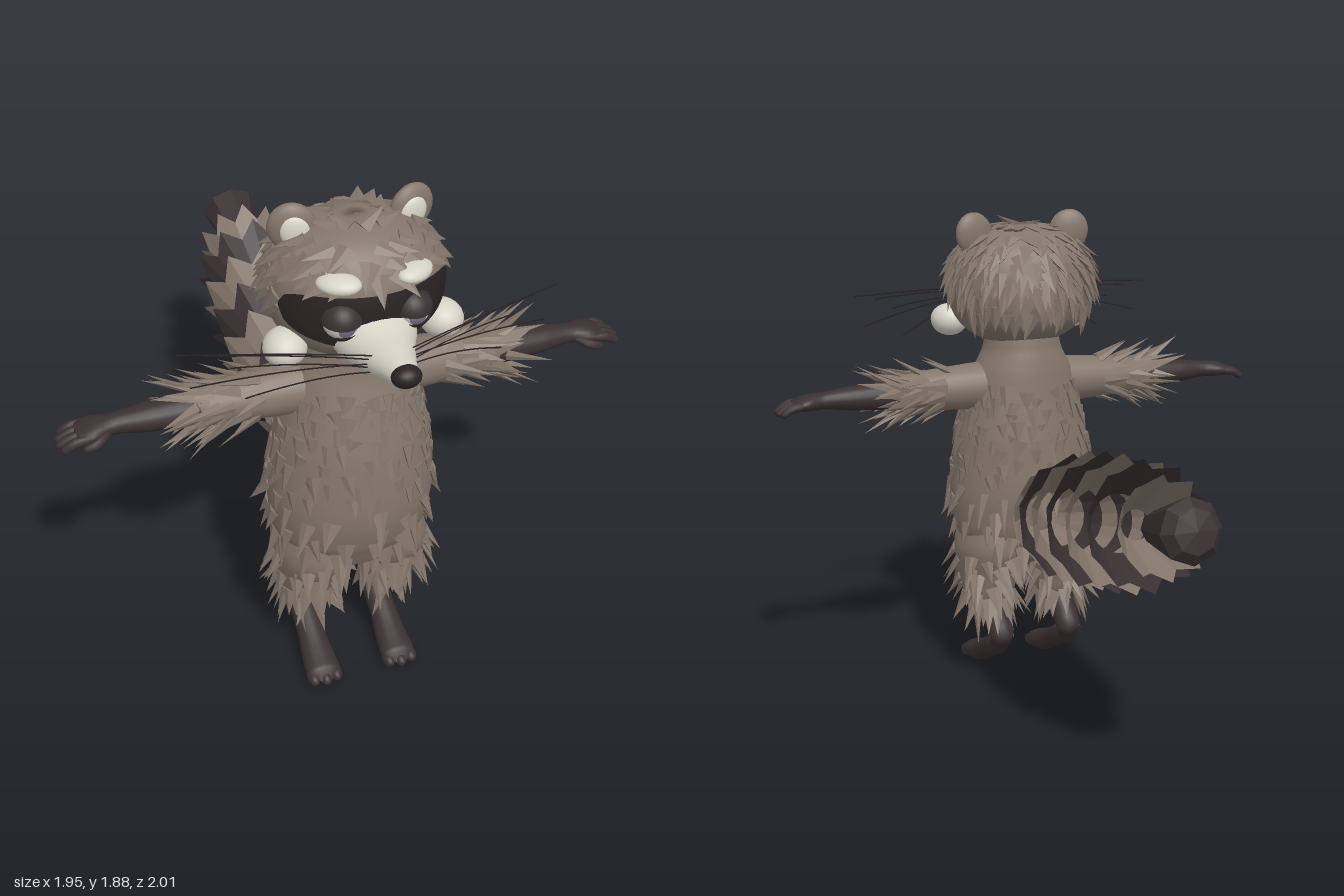
import * as THREE from 'three';
import { mergeGeometries } from 'three/addons/utils/BufferGeometryUtils.js';
import { ParametricGeometry } from 'three/addons/geometries/ParametricGeometry.js';

const V = (x, y, z) => new THREE.Vector3(x, y, z);
const X = V(1, 0, 0), Y = V(0, 1, 0), Z = V(0, 0, 1);
const mat = (name, color, side = THREE.FrontSide) => {
  const m = new THREE.MeshStandardMaterial({ color, side });
  m.name = name;
  return m;
};

export function createModel() {
  const fur = mat('grey brown fur', 0x83756a, THREE.DoubleSide);
  const dark = mat('dark brown fur', 0x3a3031, THREE.DoubleSide);
  const cream = mat('cream', 0xd6d2c6);
  const black = mat('nose black', 0x2a2223);
  const iris = mat('iris violet', 0x77738c);

  const model = new THREE.Group();
  model.name = 'animal';
  const add = (name, geo, material, parent = model) => {
    const m = new THREE.Mesh(geo, material);
    m.name = name;
    parent.add(m);
    return m;
  };
  const ball = (name, material, pos, size, rot = [0, 0, 0]) => {
    const m = add(name, new THREE.SphereGeometry(1, 20, 14), material);
    m.position.set(...pos);
    m.scale.set(...size);
    m.rotation.set(...rot);
    return m;
  };

  let seed = 7;
  const rnd = () => (seed = (seed * 16807) % 2147483647) / 2147483647;
  const vary = (k) => 1 + (rnd() - 0.5) * k;

  // Surface through elliptical sections; each row is x, y, z, radius, radius
  const loft = (rows, ref) => {
    const path = new THREE.CatmullRomCurve3(rows.map((r) => V(r[0], r[1], r[2])));
    const size = new THREE.CatmullRomCurve3(rows.map((r) => V(r[3], r[4], 0)));
    const fn = (u, v, out) => {
      const w = path.getTangent(v), a = new THREE.Vector3().crossVectors(ref, w).normalize();
      const b = new THREE.Vector3().crossVectors(w, a), s = size.getPoint(v);
      const t = u * Math.PI * 2;
      return out.copy(path.getPoint(v))
        .addScaledVector(a, Math.max(s.x, 0.001) * Math.cos(t))
        .addScaledVector(b, Math.max(s.y, 0.001) * Math.sin(t));
    };
    fn.centre = (v) => path.getPoint(v);
    return fn;
  };
  const skin = (name, fn, material, nu = 24, nv = 28) =>
    add(name, new ParametricGeometry(fn, nu, nv), material);

  // Flattened pointed tufts laid along a flow direction
  const cone = new THREE.ConeGeometry(1, 1, 5).translate(0, 0.5, 0).toNonIndexed();
  const tuft = (p, n, flow, lift, length, width) => {
    const dir = flow.clone().addScaledVector(n, -flow.dot(n)).normalize();
    dir.addScaledVector(n, lift).normalize();
    const side = new THREE.Vector3().crossVectors(dir, n).normalize();
    const out = new THREE.Vector3().crossVectors(side, dir);
    const m = new THREE.Matrix4().makeBasis(side.multiplyScalar(width),
      dir.clone().multiplyScalar(length), out.multiplyScalar(width * 0.45));
    m.setPosition(p.clone().addScaledVector(n, -0.006));
    const g = cone.clone().applyMatrix4(m);
    g.computeVertexNormals();
    return g;
  };
  // Jittered rows of tufts over a lofted surface
  const furOn = (name, fn, flow, o) => {
    const list = [];
    for (let i = 0; i < o.rows; i++) for (let j = 0; j < o.around; j++) {
      const v = o.v0 + (o.v1 - o.v0) * (i + rnd()) / o.rows;
      const u = ((j + 0.5 * (i % 2) + rnd() * 0.7) / o.around) % 1;
      const p = fn(u, v, V(0, 0, 0)), n = p.clone().sub(fn.centre(v)).normalize();
      const f = flow.clone().add(V((rnd() - 0.5) * 0.7, (rnd() - 0.5) * 0.5, (rnd() - 0.5) * 0.7));
      list.push(tuft(p, n, f, o.lift * vary(0.9), o.length * vary(0.7), o.width * vary(0.4)));
    }
    add(name, mergeGeometries(list), fur);
  };
  const down = V(0, -1, 0);

  // Torso and neck
  const torso = loft([
    [0, 0.46, 0.52, 0.02, 0.04], [0, 0.53, 0.52, 0.21, 0.17], [0, 0.64, 0.52, 0.275, 0.22],
    [0, 0.8, 0.525, 0.29, 0.245], [0, 1.0, 0.52, 0.268, 0.228], [0, 1.15, 0.51, 0.235, 0.195],
    [0, 1.27, 0.5, 0.2, 0.165], [0, 1.36, 0.5, 0.155, 0.145], [0, 1.45, 0.5, 0.14, 0.13]], Z);
  skin('torso', torso, fur, 32, 36);
  furOn('torsoFur', torso, down, { rows: 9, around: 17, v0: 0.4, v1: 0.72, lift: 0.28, length: 0.085, width: 0.032 });
  furOn('hipFur', torso, down, { rows: 4, around: 16, v0: 0.18, v1: 0.4, lift: 0.42, length: 0.11, width: 0.034 });

  // Head: a squarish rounded form, azimuth 0 faces front
  const headAt = (az, v, grow, out) => {
    const k = Math.max(Math.pow(Math.max(1 - Math.pow(Math.abs(v), 2.4), 0), 1 / 2.2), 0.002);
    return out.set(Math.sin(az) * k * (0.285 + grow), 1.6 + v * (0.23 + grow), 0.51 + Math.cos(az) * k * (0.24 + grow));
  };
  skin('head', (u, v, out) => headAt((u - 0.5) * Math.PI * 2, -Math.cos(v * Math.PI), 0, out), fur, 36, 24);

  const headTufts = [];
  for (let i = 0; i < 11; i++) {
    const v = 0.97 - i * 0.135, count = Math.round(8 + 20 * Math.sqrt(1 - v * v));
    for (let j = 0; j < count; j++) {
      const az = ((j + rnd() * 0.8) / count - 0.5) * Math.PI * 2;
      const bare = v < 0.5 ? 1.25 : 0;
      if (Math.abs(az) < bare || (v < -0.1 && Math.abs(az) < 1.9)) continue;
      const p = headAt(az, v, 0, V(0, 0, 0)), n = p.clone().sub(V(0, 1.6, 0.51)).normalize();
      const f = V(n.x * 0.4 + (rnd() - 0.5) * 0.5, -0.8, -0.35);
      headTufts.push(tuft(p, n, f, 0.3 * vary(0.8), 0.088 * vary(0.5), 0.036 * vary(0.3)));
    }
  }
  add('headFur', mergeGeometries(headTufts), fur);

  // Eye mask: thin shell over the face, narrowing at its ends
  skin('eyeMask', (u, v, out) => {
    const q = u * 2 - 1, e = Math.sqrt(Math.max(1 - Math.pow(Math.abs(q), 5), 0));
    const top = 0.1 + 0.24 * e, low = 0.02 - (0.27 + 0.26 * (1 - Math.abs(q))) * e;
    return headAt(q * 1.2, low + (top - low) * v, 0.008, out);
  }, black, 32, 10);

  // Muzzle and nose
  skin('muzzle', loft([
    [0, 1.525, 0.62, 0.14, 0.11], [0, 1.515, 0.71, 0.135, 0.1], [0, 1.51, 0.8, 0.095, 0.076],
    [0, 1.523, 0.9, 0.058, 0.049], [0, 1.53, 0.96, 0.038, 0.035], [0, 1.53, 0.975, 0.002, 0.002]], Y), cream);
  ball('nose', black, [0, 1.535, 0.962], [0.047, 0.035, 0.038]);

  for (const s of [1, -1]) {
    const side = s > 0 ? 'left' : 'right';

    // Face details
    ball(side + 'Cheek', cream, [s * 0.258, 1.463, 0.615], [0.07, 0.062, 0.075], [0, s * 0.5, 0]);
    ball(side + 'Brow', cream, [s * 0.12, 1.718, 0.705], [0.07, 0.028, 0.045], [0.2, s * 0.55, s * -0.12]);
    ball(side + 'Eye', cream, [s * 0.112, 1.595, 0.712], [0.059, 0.059, 0.059]);
    const pupil = add(side + 'Iris', new THREE.SphereGeometry(0.061, 16, 6, 0, Math.PI * 2, 0, 0.45), iris);
    pupil.position.set(s * 0.112, 1.595, 0.712);
    pupil.rotation.x = Math.PI / 2 + 0.12;
    for (const [name, rx, arc] of [['UpperLid', 0.1, 0.48], ['LowerLid', Math.PI - 0.1, 0.34]]) {
      const lid = add(side + name, new THREE.SphereGeometry(0.066, 20, 10, 0, Math.PI * 2, 0, Math.PI * arc), dark);
      lid.position.set(s * 0.112, 1.595, 0.712);
      lid.rotation.x = rx;
    }
    ball(side + 'Ear', fur, [s * 0.192, 1.8, 0.485], [0.077, 0.083, 0.033], [0, s * 0.2, s * -0.3]);
    ball(side + 'InnerEar', cream, [s * 0.19, 1.795, 0.508], [0.047, 0.055, 0.02], [0, s * 0.2, s * -0.3]);

    // Whiskers
    [[0.615, 1.56, 0.69], [0.53, 1.545, 0.7], [0.58, 1.44, 0.7], [0.46, 1.5, 0.72], [0.42, 1.385, 0.73]].forEach(([x, y, z], i) => {
      const curve = new THREE.QuadraticBezierCurve3(V(s * 0.06, 1.545 - i * 0.015, 0.85),
        V(s * x * 0.5, y * 0.4 + 1.545 * 0.6 + 0.012, z + 0.09), V(s * x, y, z));
      add(side + 'Whisker', new THREE.TubeGeometry(curve, 12, 0.0028, 4), black);
    });

    // Arm, forearm and hand
    const sleeve = loft([[s * 0.08, 1.215, 0.5, 0.1, 0.1], [s * 0.22, 1.215, 0.5, 0.09, 0.09],
      [s * 0.36, 1.213, 0.5, 0.08, 0.08], [s * 0.48, 1.21, 0.5, 0.07, 0.07], [s * 0.54, 1.21, 0.5, 0.05, 0.05]], Z);
    skin(side + 'Arm', sleeve, fur, 20, 12);
    furOn(side + 'ArmFur', sleeve, V(s, -0.05, 0), { rows: 5, around: 10, v0: 0.4, v1: 0.98, lift: 0.45, length: 0.135, width: 0.026 });
    skin(side + 'Forearm', loft([[s * 0.46, 1.21, 0.5, 0.05, 0.06], [s * 0.55, 1.208, 0.5, 0.055, 0.06],
      [s * 0.68, 1.207, 0.5, 0.047, 0.052], [s * 0.79, 1.207, 0.5, 0.033, 0.038], [s * 0.86, 1.203, 0.5, 0.03, 0.06],
      [s * 0.905, 1.195, 0.5, 0.02, 0.055], [s * 0.915, 1.193, 0.5, 0.002, 0.01]], Z), dark, 20, 24);
    const digit = (name, a, b, c, r) => skin(side + name, loft([[...a, r * 0.8, r * 0.8], [...b, r, r],
      [...c, r * 0.8, r * 0.8], [c[0] + s * 0.007, c[1] - 0.005, c[2], 0.001, 0.001]], Z), dark, 10, 10);
    for (let i = 0; i < 4; i++) {
      const z = 0.455 + i * 0.031, reach = i % 3 ? 0.012 : 0;
      digit('Finger', [s * 0.87, 1.202, z], [s * 0.92, 1.194, z], [s * (0.955 + reach), 1.172, z], 0.017);
    }
    digit('Thumb', [s * 0.81, 1.2, 0.53], [s * 0.85, 1.187, 0.562], [s * 0.89, 1.175, 0.565], 0.016);

    // Furry thigh
    const thigh = loft([[s * 0.14, 0.68, 0.52, 0.1, 0.17], [s * 0.145, 0.56, 0.52, 0.132, 0.19],
      [s * 0.15, 0.45, 0.515, 0.118, 0.145], [s * 0.15, 0.34, 0.505, 0.095, 0.105],
      [s * 0.15, 0.31, 0.5, 0.06, 0.07]], Z);
    skin(side + 'Thigh', thigh, fur, 24, 16);
    furOn(side + 'ThighFur', thigh, down, { rows: 5, around: 10, v0: 0.25, v1: 0.8, lift: 0.5, length: 0.115, width: 0.03 });
    furOn(side + 'CuffFur', thigh, down, { rows: 1, around: 11, v0: 0.78, v1: 0.95, lift: 0.25, length: 0.13, width: 0.03 });

    // Lower leg bending back to the hock, then forward to the foot
    skin(side + 'LowerLeg', loft([[s * 0.145, 0.38, 0.52, 0.07, 0.06], [s * 0.145, 0.29, 0.46, 0.056, 0.056],
      [s * 0.145, 0.205, 0.375, 0.045, 0.05], [s * 0.145, 0.15, 0.44, 0.045, 0.05], [s * 0.145, 0.095, 0.54, 0.042, 0.05],
      [s * 0.145, 0.05, 0.63, 0.045, 0.06], [s * 0.145, 0.036, 0.7, 0.034, 0.063], [s * 0.145, 0.03, 0.735, 0.002, 0.02]], X), dark, 18, 36);
    for (let i = -1; i <= 1; i++)
      ball(side + 'Toe', dark, [s * 0.145 + i * 0.042, 0.025, 0.712 - Math.abs(i) * 0.01], [0.024, 0.025, 0.038]);
  }

  // Tail: flared rings with jagged rims, alternating colours
  const tail = new THREE.Group();
  tail.name = 'tail';
  tail.position.set(0, 0.735, 0.25);
  tail.rotation.x = -1.326;
  model.add(tail);
  const band = (start, end, r0, r1, teeth) => {
    const pos = [], n = teeth * 2;
    const at = (j, rim) => {
      const t = (j / n) * Math.PI * 2, tip = j % 2 === 0;
      const r = rim ? (tip ? r1 : r1 * 0.86) : r0, y = rim ? (tip ? end : end - 0.065) : start;
      return [r * Math.sin(t), y, r * Math.cos(t)];
    };
    for (let j = 0; j < n; j++) {
      const a = at(j, 0), b = at(j + 1, 0), c = at(j + 1, 1), d = at(j, 1);
      pos.push(...a, ...b, ...c, ...a, ...c, ...d);
    }
    const g = new THREE.BufferGeometry();
    g.setAttribute('position', new THREE.Float32BufferAttribute(pos, 3));
    g.computeVertexNormals();
    return g;
  };
  [[0.2, 0.205], [0.35, 0.24], [0.505, 0.25], [0.65, 0.25], [0.8, 0.24], [0.95, 0.222], [1.09, 0.172]].forEach(([end, r], i) => {
    add('tailBand', band(end - 0.25, end, i ? r - 0.12 : 0.06, r, 10), i % 2 ? dark : fur, tail);
  });
  const tip = new THREE.LatheGeometry([[0.055, 1.0], [0.108, 1.25], [0.075, 1.285], [0, 1.295]]
    .map(([r, y]) => new THREE.Vector2(r, y)), 8).toNonIndexed();
  tip.computeVertexNormals();
  add('tailTip', tip, dark, tail);

  return model;
}
